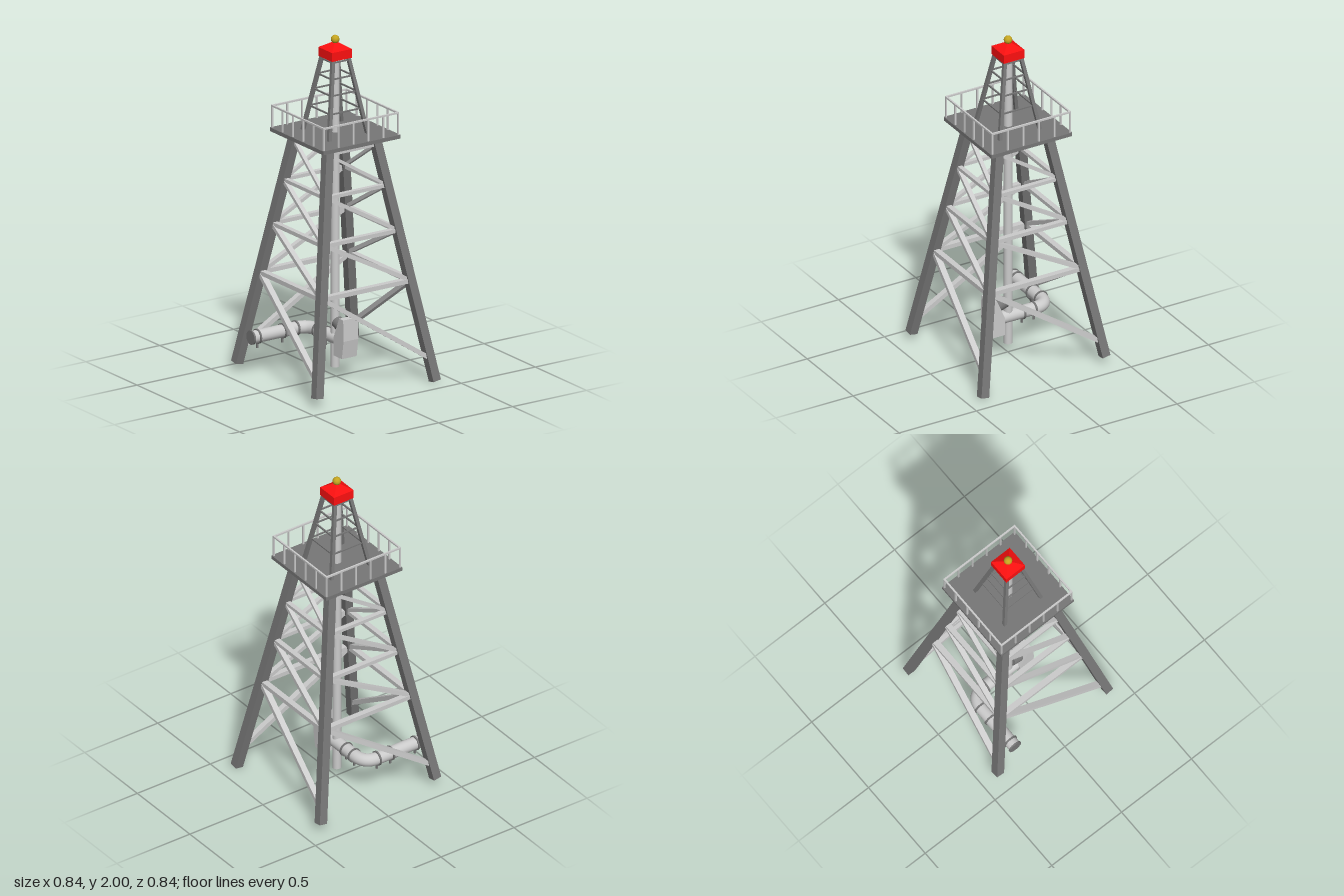
import * as THREE from 'three';

const UP = new THREE.Vector3(0, 1, 0);
const V = (x, y, z) => new THREE.Vector3(x, y, z);
const grey = new THREE.MeshStandardMaterial({ color: 0xcccccc });
const dark = new THREE.MeshStandardMaterial({ color: 0x777777 });
const red = new THREE.MeshStandardMaterial({ color: 0xff1010 });
const gold = new THREE.MeshStandardMaterial({ color: 0xc4a420 });

function add(parent, name, geometry, material, pos) {
  const mesh = new THREE.Mesh(geometry, material);
  mesh.name = name;
  if (pos) mesh.position.copy(pos);
  parent.add(mesh);
  return mesh;
}

// Square bar between two points, kept as upright as possible
function bar(parent, name, a, b, size, material) {
  const d = b.clone().sub(a);
  const mesh = add(parent, name, new THREE.BoxGeometry(size, d.length(), size), material,
    a.clone().add(b).multiplyScalar(0.5));
  mesh.quaternion.setFromUnitVectors(UP, d.normalize());
  return mesh;
}

// Flat-sided brace whose wide side points outward (+z)
function brace(parent, name, a, b, tall, deep, material) {
  const d = b.clone().sub(a);
  const mesh = add(parent, name, new THREE.BoxGeometry(d.length(), tall, deep), material,
    a.clone().add(b).multiplyScalar(0.5));
  mesh.quaternion.setFromUnitVectors(V(1, 0, 0), d.normalize());
  return mesh;
}

// Round tube between two points
function rod(parent, name, a, b, r, material, sides = 24) {
  const d = b.clone().sub(a);
  const mesh = add(parent, name, new THREE.CylinderGeometry(r, r, d.length(), sides), material,
    a.clone().add(b).multiplyScalar(0.5));
  mesh.quaternion.setFromUnitVectors(UP, d.normalize());
  return mesh;
}

const legX = (y) => 0.4 - 0.171 * y;
const mastX = (y) => 0.128 - 0.174 * (y - 1.44);

// One quarter of the tower: a leg, a braced face, a mast face and a railing side
function makeSide(index) {
  const side = new THREE.Group();
  side.name = 'towerSide';
  const foot = index === 0 ? 0.01 : 0.05;
  const leg = (y) => V(legX(y), y, legX(y));
  bar(side, 'leg', leg(foot), leg(1.425), 0.05, dark);

  // Horizontal girts and the single diagonal below each
  const levels = [0.14, 0.59, 0.88, 1.14, 1.375];
  for (let i = 1; i < levels.length; i++) {
    const y = levels[i], low = levels[i - 1];
    const h = legX(y), l = legX(low), s = 1.1 - 0.11 * i;
    brace(side, 'girt', V(-h, y, h), V(h, y, h), 0.026 * s, 0.035 * s, grey);
    brace(side, 'diagonalBrace', V(-h, y, h), V(l, low, l), 0.026 * s, 0.035 * s, grey);
  }

  // Upper mast leg and rungs
  bar(side, 'mastLeg', V(mastX(1.43), 1.43, mastX(1.43)), V(mastX(1.88), 1.88, mastX(1.88)), 0.02, dark);
  for (const y of [1.58, 1.68, 1.77, 1.86]) {
    const h = mastX(y);
    brace(side, 'mastRung', V(-h, y, h), V(h, y, h), 0.008, 0.008, dark);
  }

  // Railing
  brace(side, 'handrail', V(-0.255, 1.565, 0.251), V(0.255, 1.565, 0.251), 0.01, 0.01, grey);
  for (let i = 0; i < 5; i++) {
    const x = -0.251 + i * 0.1004;
    bar(side, 'railPost', V(x, 1.43, 0.251), V(x, 1.565, 0.251), 0.009, grey);
  }
  side.rotation.y = index * Math.PI / 2;
  return side;
}

// Pump housing, bent outlet pipe and its flanges
function makePump() {
  const pump = new THREE.Group();
  pump.name = 'pump';
  const profile = [[0.145, 0.375], [0.105, 0.375], [0.05, 0.25], [0.05, 0.145], [0.132, 0.145], [0.148, 0.25]];
  const shape = new THREE.Shape(profile.map(([z, y]) => new THREE.Vector2(-z, y)));
  const housing = new THREE.ExtrudeGeometry(shape, { depth: 0.1, bevelEnabled: false });
  housing.translate(0, 0, -0.05).rotateY(Math.PI / 2);
  add(pump, 'pumpHousing', housing, grey, V(0.004, 0, 0));
  rod(pump, 'inletPipe', V(0, 0.295, 0.11), V(0, 0.325, 0.02), 0.035, dark);

  const y = 0.228, r = 0.037, zRun = -0.263;
  rod(pump, 'outletPipe', V(0, y, 0.07), V(0, y, -0.165), r, grey);
  const bend = new THREE.QuadraticBezierCurve3(V(0, y, -0.165), V(0, y, zRun), V(-0.09, y, zRun));
  add(pump, 'outletElbow', new THREE.TubeGeometry(bend, 16, r, 24), grey);
  rod(pump, 'outletPipe', V(-0.09, y, zRun), V(-0.385, y, zRun), r, grey);
  rod(pump, 'endRim', V(-0.38, y, zRun), V(-0.39, y, zRun), 0.041, dark);

  const flange = (p, axis) => {
    const half = axis.clone().multiplyScalar(0.005);
    rod(pump, 'flange', p.clone().sub(half), p.clone().add(half), 0.043, dark);
    bar(pump, 'flangeFoot', V(p.x, 0.16, p.z), V(p.x, y - r, p.z), 0.01, dark);
  };
  for (const z of [-0.09, -0.165]) flange(V(0, y, z), V(0, 0, 1));
  for (const x of [-0.085, -0.175, -0.345]) flange(V(x, y, zRun), V(1, 0, 0));
  return pump;
}

export function createModel() {
  const tower = new THREE.Group();
  tower.name = 'tower';
  for (let i = 0; i < 4; i++) tower.add(makeSide(i));
  add(tower, 'platform', new THREE.BoxGeometry(0.521, 0.022, 0.521), dark, V(0, 1.426, 0));
  rod(tower, 'centralPipe', V(0, 0.06, 0), V(0, 1.88, 0), 0.025, grey);
  tower.add(makePump());

  // Cap with a low pyramid roof and a beacon ball
  add(tower, 'cap', new THREE.BoxGeometry(0.134, 0.052, 0.134), red, V(0, 1.898, 0));
  const roof = new THREE.ConeGeometry(0.067 * Math.SQRT2, 0.042, 4).toNonIndexed();
  roof.rotateY(Math.PI / 4).computeVertexNormals();
  add(tower, 'capRoof', roof, red, V(0, 1.945, 0));
  add(tower, 'beacon', new THREE.SphereGeometry(0.024, 24, 16), gold, V(0, 1.976, 0));
  tower.position.set(-0.004, 0, -0.004);

  const model = new THREE.Group();
  model.name = 'derrick';
  model.add(tower);
  return model;
}
